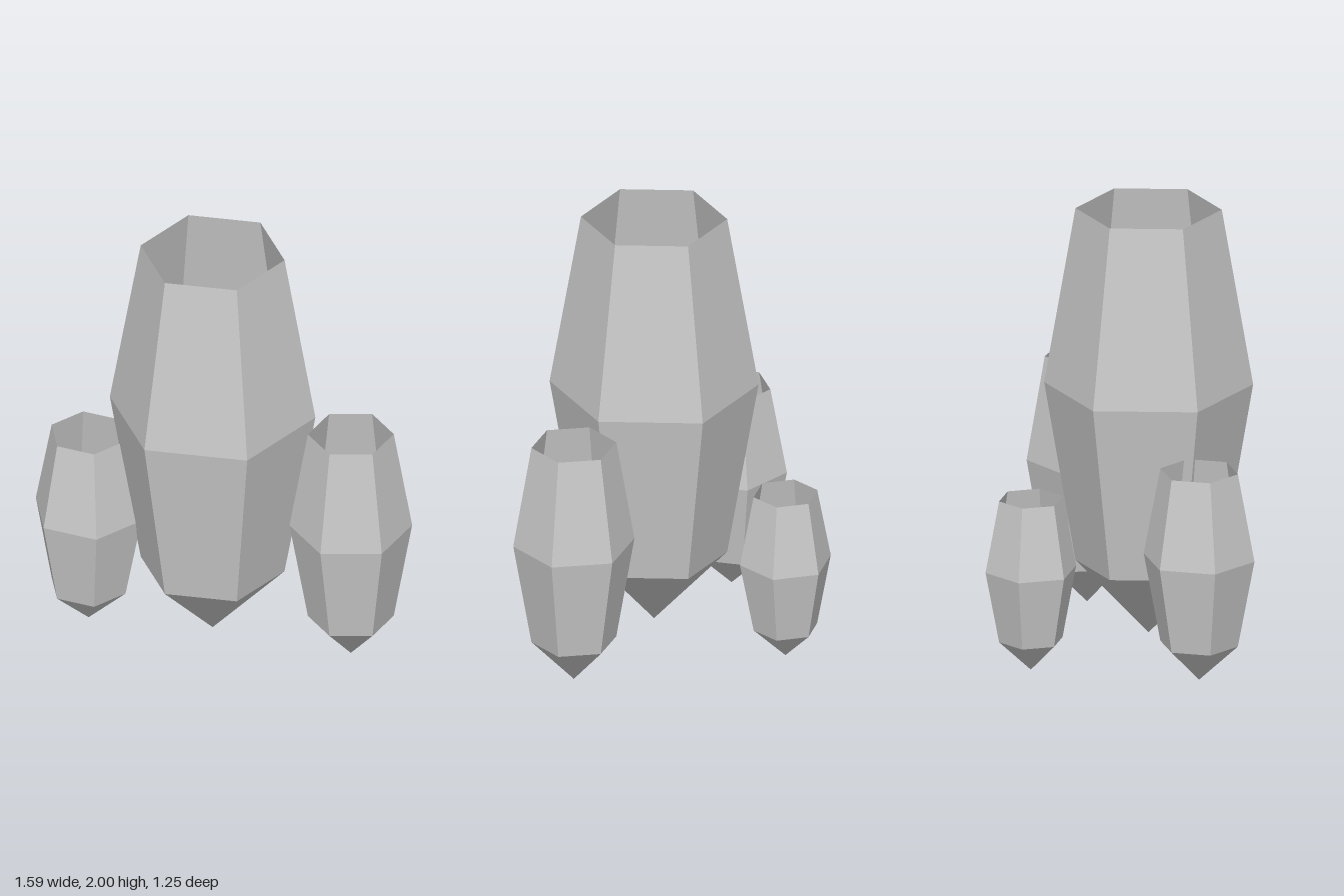
import * as THREE from 'three';

export function createModel() {
  const group = new THREE.Group();
  group.name = 'crystalCluster';

  // thin open shells, visible inside and out
  const crystal = new THREE.MeshStandardMaterial({
    name: 'pale grey crystal', color: 0xc8c8c8, flatShading: true, side: THREE.DoubleSide,
  });

  // six-sided open-topped shard: pointed foot, widest at the middle, rim as wide as the foot ring
  function addShard({ name, x, z, radius, turn, tip, ring, middle, top }) {
    const end = radius * 0.7;
    const profile = [[0, tip], [end, ring], [radius, middle], [end, top]]
      .map(([r, y]) => new THREE.Vector2(r, y));
    const start = THREE.MathUtils.degToRad(90 - turn); // turn: corner angle from +x towards +z
    const mesh = new THREE.Mesh(new THREE.LatheGeometry(profile, 6, start), crystal);
    mesh.name = name;
    mesh.position.set(x, 0, z);
    group.add(mesh);
  }

  [
    { name: 'mainCrystal', x: -0.057, z: 0.173, radius: 0.457, turn: 17, tip: 0.05, ring: 0.38, middle: 1.197, top: 2 },
    { name: 'leftCrystal', x: 0.528, z: 0.377, radius: 0.268, turn: 6, tip: 0.006, ring: 0.199, middle: 0.671, top: 1.145 },
    { name: 'rightCrystal', x: -0.579, z: -0.036, radius: 0.249, turn: 28.5, tip: 0.004, ring: 0.17, middle: 0.567, top: 0.964 },
    { name: 'backCrystal', x: 0.047, z: -0.45, radius: 0.205, turn: 0, tip: 0, ring: 0.138, middle: 0.463, top: 0.787 },
  ].forEach(addShard);

  return group;
}
